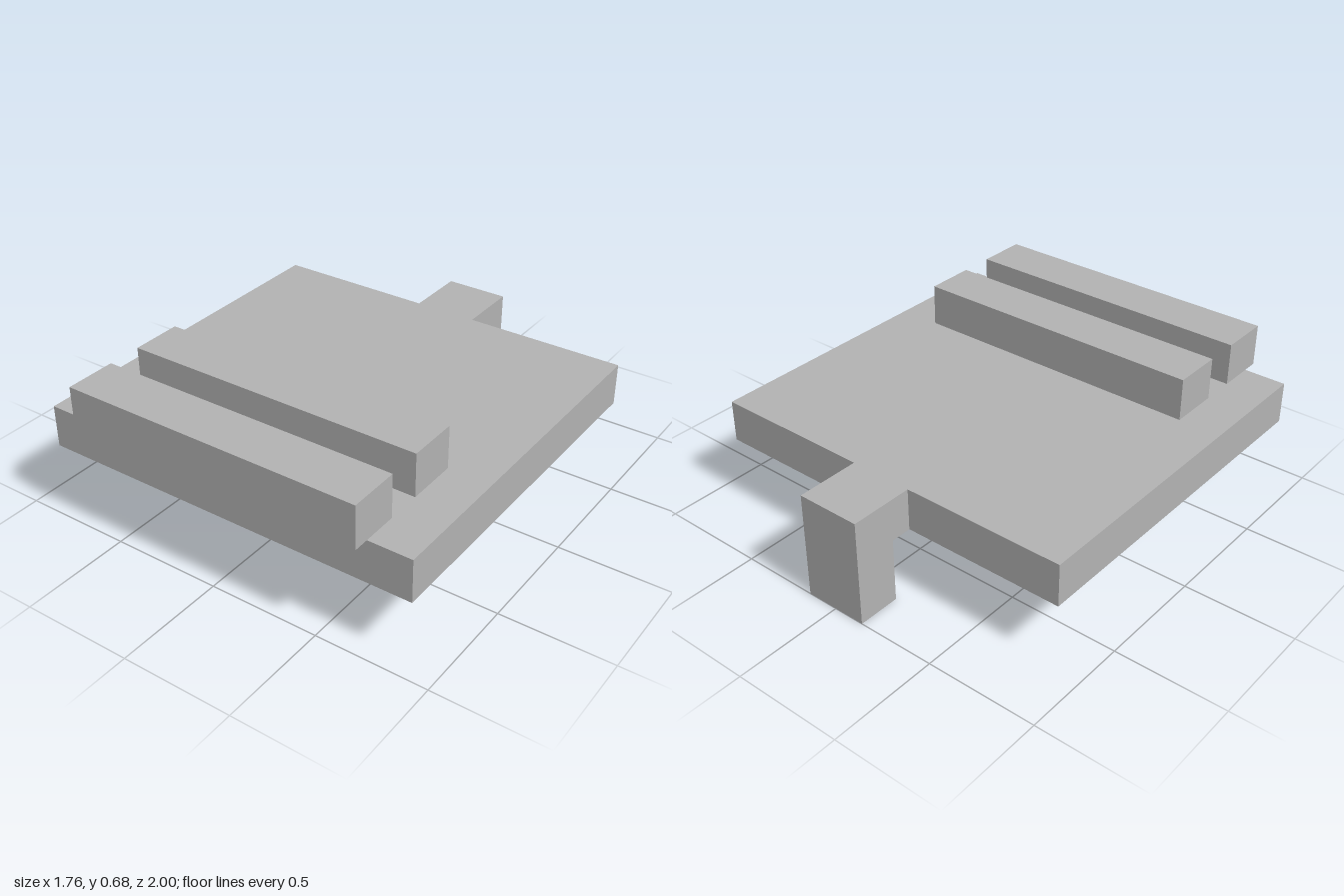
import * as THREE from 'three';

const grey = new THREE.MeshStandardMaterial({ color: 0xb2b2b2 });
grey.name = 'grey';

// Box given by its half width in x and its y and z limits
function addBox(group, name, halfX, [y0, y1], [z0, z1]) {
  const mesh = new THREE.Mesh(new THREE.BoxGeometry(2 * halfX, y1 - y0, z1 - z0), grey);
  mesh.name = name;
  mesh.position.set(0, (y0 + y1) / 2, (z0 + z1) / 2);
  group.add(mesh);
}

export function createModel() {
  const model = new THREE.Group();
  model.name = 'slab';

  const bottom = 0.295, top = 0.487, barTop = 0.68;

  // Broad flat plate
  addBox(model, 'plate', 0.88, [bottom, top], [-0.71, 0.93]);

  // Two parallel bars on top; the front one overhangs the plate
  addBox(model, 'frontBar', 0.685, [top, barTop], [0.77, 1]);
  addBox(model, 'middleBar', 0.685, [top, barTop], [0.385, 0.615]);

  // L-shaped hook at the back: a tab level with the plate, bent down into a leg
  const halfHook = 0.145;
  const profile = new THREE.Shape([
    [0.71, bottom], [0.71, top], [1, top], [1, 0], [0.805, 0], [0.805, bottom],
  ].map(([x, y]) => new THREE.Vector2(x, y)));
  const hookGeometry = new THREE.ExtrudeGeometry(profile, { depth: 2 * halfHook, bevelEnabled: false });
  hookGeometry.translate(0, 0, -halfHook);
  hookGeometry.rotateY(Math.PI / 2); // profile x runs towards -z
  const hook = new THREE.Mesh(hookGeometry, grey);
  hook.name = 'rearHook';
  model.add(hook);

  return model;
}
